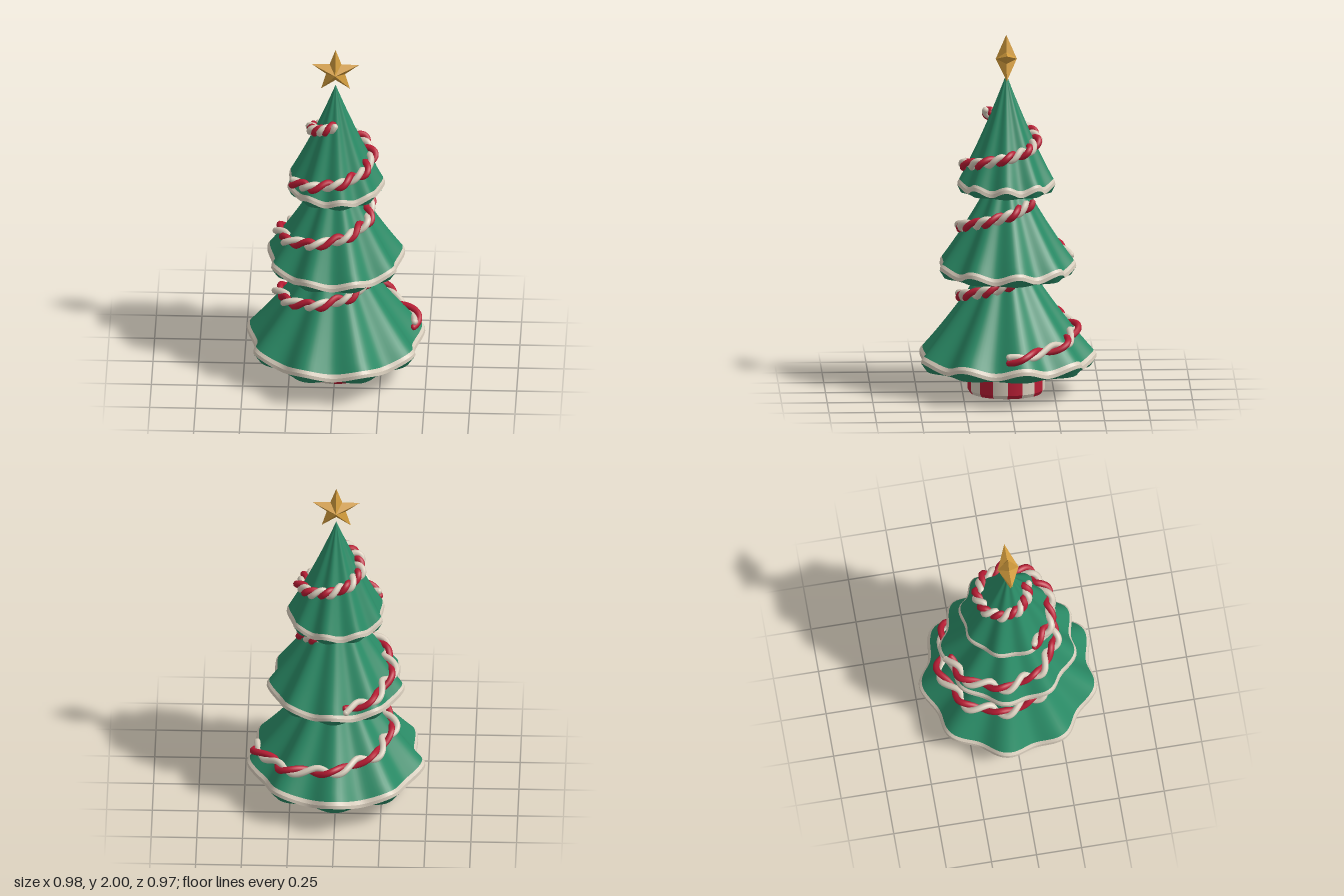
import * as THREE from 'three';

const mat = (name, color) => {
  const m = new THREE.MeshStandardMaterial({ color });
  m.name = name;
  return m;
};

const Z0 = 0.01; // tree axis
const LOBES = 9;
const rad = THREE.MathUtils.degToRad;

// Skirt tiers: apex and hem height, hem radius, flute depth, underside height, lobe angle
const tiers = [
  { name: 'lower', apex: 0.9, hem: 0.195, R: 0.468, A: 0.024, H: 0.02, base: 0.145, phase: 20 },
  { name: 'middle', apex: 1.35, hem: 0.705, R: 0.362, A: 0.018, H: 0.019, base: 0.66, phase: 18 },
  { name: 'upper', apex: 1.78, hem: 1.172, R: 0.257, A: 0.012, H: 0.016, base: 1.128, phase: 8 },
];

// Garlands: start and end angle (0 = front, 90 = +x) and height
const garlands = [
  { from: 130, to: -270, y0: 0.67, y1: 0.27, phase: 0.5 },
  { from: 140, to: -170, y0: 1.075, y1: 0.75, phase: 0 },
  { from: 0, to: -425, y0: 1.57, y1: 1.22, phase: 1 },
];

const wave = (tier, a) => Math.cos(LOBES * (a - rad(tier.phase)));

// Radius and height of the fluted cone; s runs from apex (0) to hem (1)
function skirt(tier, s, a) {
  const w = wave(tier, a);
  return [
    tier.R * (0.85 * s + 0.15 * s * s) + tier.A * s * w,
    tier.apex + (tier.hem - tier.apex) * s + tier.H * s ** 4 * w,
  ];
}

// Smooth closed surface through rings, each a function angle -> [radius, height]
function loft(rings, cols = 144) {
  const pos = [], index = [];
  rings.forEach((ring, i) => {
    for (let j = 0; j < cols; j++) {
      const a = (j / cols) * Math.PI * 2;
      const [r, y] = ring(a);
      pos.push(r * Math.sin(a), y, r * Math.cos(a) + Z0);
      if (i + 1 < rings.length) {
        const k = (j + 1) % cols;
        const p = i * cols + j, q = p + cols, t = (i + 1) * cols + k, u = i * cols + k;
        index.push(p, q, t, p, t, u);
      }
    }
  });
  const g = new THREE.BufferGeometry();
  g.setAttribute('position', new THREE.Float32BufferAttribute(pos, 3));
  g.setIndex(index);
  g.computeVertexNormals();
  return g;
}

// One strand of a twisted rope winding down a tier
class Strand extends THREE.Curve {
  constructor(tier, garland, side) {
    super();
    Object.assign(this, { tier, garland, side });
  }
  getPoint(t, target = new THREE.Vector3()) {
    const { tier, garland: g } = this;
    const a = rad(g.from + (g.to - g.from) * t);
    const y = g.y0 + (g.y1 - g.y0) * t;
    const s = (tier.apex - y) / (tier.apex - tier.hem);
    const turn = (Math.abs(g.to - g.from) * t / 36) * Math.PI * 2 + (this.side + g.phase) * Math.PI;
    const out = 0.017 * Math.cos(turn), down = 0.017 * Math.sin(turn);
    const r = skirt(tier, s, a)[0] + 0.018 + out * 0.87 + down * 0.5;
    return target.set(r * Math.sin(a), y + out * 0.5 - down * 0.87, r * Math.cos(a) + Z0);
  }
}

// Five-pointed faceted star, a ridge on both faces
function starGeometry(outer, inner, depth) {
  const pos = [];
  const rim = (i) => {
    const r = i % 2 ? inner : outer, a = (i * Math.PI) / 5;
    return [r * Math.sin(a), r * Math.cos(a), 0];
  };
  for (let i = 0; i < 10; i++) {
    const p = rim(i), q = rim(i + 1);
    pos.push(0, 0, depth, ...q, ...p, 0, 0, -depth, ...p, ...q);
  }
  const g = new THREE.BufferGeometry();
  g.setAttribute('position', new THREE.Float32BufferAttribute(pos, 3));
  g.computeVertexNormals();
  return g;
}

export function createModel() {
  const model = new THREE.Group();
  model.name = 'decoratedTree';
  const green = mat('green', 0x2a8b66);
  const red = mat('red', 0xb81c34);
  const cream = mat('cream', 0xd8cdbc);
  const gold = mat('gold', 0xd09a3c);

  const add = (name, geometry, material, parent = model) => {
    const mesh = new THREE.Mesh(geometry, material);
    mesh.name = name;
    parent.add(mesh);
    return mesh;
  };

  // Striped pot with a bevelled foot
  const pot = new THREE.Group();
  pot.name = 'pot';
  pot.position.z = Z0;
  model.add(pot);
  const step = Math.PI / 8;
  for (let i = 0; i < 16; i++) {
    const material = i % 2 ? cream : red;
    const wall = new THREE.CylinderGeometry(0.212, 0.212, 0.16, 4, 1, true, i * step, step);
    add('potStripe', wall, material, pot).position.y = 0.1;
    const bevel = new THREE.CylinderGeometry(0.212, 0.2, 0.02, 4, 1, true, i * step, step);
    add('potBevel', bevel, material, pot).position.y = 0.01;
  }
  add('potBottom', new THREE.CircleGeometry(0.2, 64).rotateX(Math.PI / 2), cream, pot);

  // Fluted skirts, each with a trimmed hem and a closed underside
  for (const tier of tiers) {
    const at = (s) => (a) => skirt(tier, s, a);
    const rim = (a) => {
      const [r, y] = skirt(tier, 1, a);
      return [r + 0.003, y - 0.02];
    };
    const edge = (k) => (a) => [skirt(tier, 1, a)[0] * k, tier.base];
    const rows = Array.from({ length: 17 }, (_, i) => at(0.975 * i / 16));
    add(tier.name + 'Skirt', loft(rows), green);
    add(tier.name + 'TrimTop', loft([at(0.975), at(1)]), cream);
    add(tier.name + 'TrimEdge', loft([at(1), rim]), cream);
    add(tier.name + 'Lip', loft([rim, edge(0.94)]), green);
    add(tier.name + 'Underside', loft([edge(0.94), edge(0.5), edge(0)]), green);
  }

  // Two-strand garlands with rounded ends
  garlands.forEach((garland, i) => {
    [red, cream].forEach((material, side) => {
      const curve = new Strand(tiers[i], garland, side);
      add('garlandStrand', new THREE.TubeGeometry(curve, 260, 0.018, 8), material);
      for (const t of [0, 1]) {
        const end = add('garlandEnd', new THREE.SphereGeometry(0.018, 10, 8), material);
        curve.getPoint(t, end.position);
      }
    });
  });

  // Star on the tip
  add('star', starGeometry(0.135, 0.055, 0.058), gold).position.set(0, 1.865, Z0);

  return model;
}
